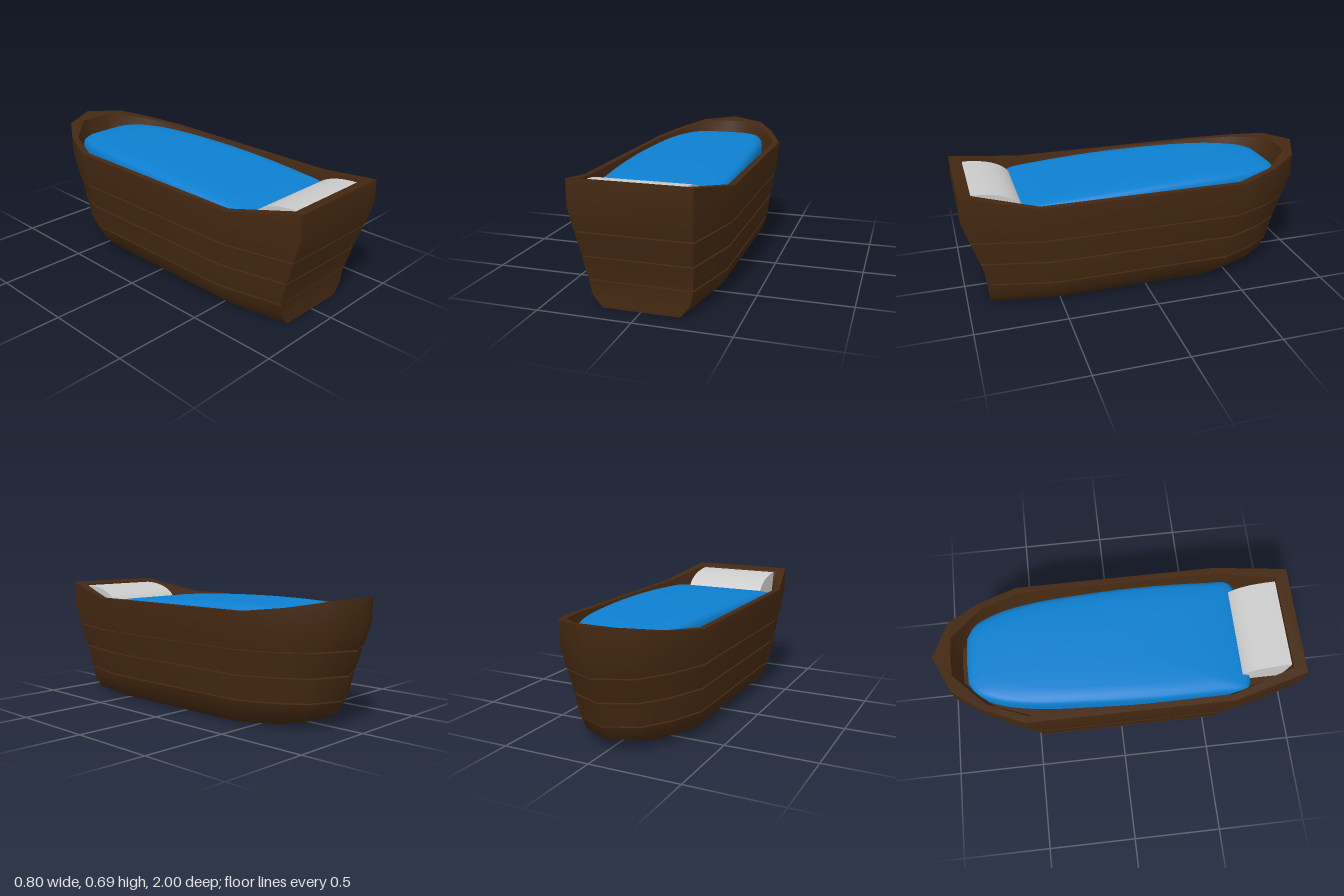
import * as THREE from 'three';
import { toCreasedNormals } from 'three/addons/utils/BufferGeometryUtils.js';

// Skin a stack of closed rings; each ring is a list of [x, y, z]
function loft(rings, crease) {
  const pos = [];
  const same = (p, q) => p.every((v, k) => Math.abs(v - q[k]) < 1e-6);
  const tri = (a, b, c) => {
    if (!same(a, b) && !same(b, c) && !same(a, c)) pos.push(...a, ...b, ...c);
  };
  for (let i = 0; i < rings.length - 1; i++) {
    const lo = rings[i], hi = rings[i + 1], n = lo.length;
    for (let j = 0; j < n; j++) {
      const k = (j + 1) % n;
      tri(lo[j], hi[j], lo[k]);
      tri(lo[k], hi[j], hi[k]);
    }
  }
  const g = new THREE.BufferGeometry();
  g.setAttribute('position', new THREE.Float32BufferAttribute(pos, 3));
  return toCreasedNormals(g, crease);
}

// Half outline from bow to stern on +x, completed by its mirror image
const mirrored = half => [
  ...half,
  ...half.filter(p => p[0] > 0).reverse().map(([x, z]) => [-x, z]),
];

function part(name, geometry, material) {
  const m = new THREE.Mesh(geometry, material);
  m.name = name;
  return m;
}

export function createModel() {
  const model = new THREE.Group();
  model.name = 'boatBed';
  const wood = new THREE.MeshStandardMaterial({ color: 0x442811, side: THREE.DoubleSide });
  const blue = new THREE.MeshStandardMaterial({ color: 0x0d7fd0 });
  const grey = new THREE.MeshStandardMaterial({ color: 0xcccccc });

  // Hull plan, bow at -z and flat stern at +z
  const plan = mirrored([[0, -1], [0.2, -0.91], [0.31, -0.75], [0.4, -0.53], [0.4, 0.61], [0.31, 1]]);
  const innerPlan = mirrored([[0, -0.905], [0.11, -0.9], [0.28, -0.73], [0.365, -0.51], [0.365, 0.6], [0.27, 0.935]]);
  const sheer = z => 0.61 + (z > 0.61 ? 0.075 * (z - 0.61) / 0.39
    : z < -0.6 ? 0.075 * (-z - 0.6) / 0.4 : 0);

  // Level hull ring: half width, stern z, bow z, height
  const level = (w, stern, bow, y) =>
    plan.map(([x, z]) => [x * w / 0.4, y, z > 0 ? z * stern : z * bow]);

  // Planks from keel to gunwale: rows of [half width, stern, bow, y]
  const planks = [
    [[0, 0, 0, 0], [0.263, 0.875, 0.66, 0], [0.327, 0.875, 0.83, 0.065], [0.35, 0.875, 0.865, 0.14]],
    [[0.35, 0.88, 0.87, 0.148], [0.366, 0.915, 0.905, 0.275]],
    [[0.366, 0.918, 0.908, 0.284], [0.384, 0.957, 0.95, 0.411]],
    [[0.386, 0.961, 0.957, 0.42], [0.4, 1, 1, 0.55]],
  ];
  const hull = [];
  planks.forEach((rows, i) => {
    // Recessed seam between neighbouring planks
    if (i > 0) {
      const below = planks[i - 1].at(-1), above = rows[0];
      for (const r of [below, above]) hull.push(level(r[0] - 0.022, r[1] - 0.04, r[2] - 0.05, r[3]));
    }
    rows.forEach(r => hull.push(level(...r)));
  });

  // Gunwale, inner wall and inside floor
  hull.push(plan.map(([x, z]) => [x, sheer(z), z]));
  hull.push(innerPlan.map(([x, z]) => [x, sheer(z), z]));
  hull.push(innerPlan.map(([x, z]) => [x * 0.92, 0.5, z * 0.96]));
  hull.push(innerPlan.map(() => [0, 0.5, 0]));
  model.add(part('hull', loft(hull, 0.9), wood));

  // Domed blanket following the bow curve
  const edge = new THREE.CatmullRomCurve3([
    [0.13, -0.83], [0.2, -0.785], [0.26, -0.66], [0.3, -0.47], [0.325, -0.15],
    [0.338, 0.2], [0.334, 0.55], [0.325, 0.69], [0.28, 0.72],
  ].map(([x, z]) => new THREE.Vector3(x, 0, z)), false, 'centripetal');
  const blanketPlan = mirrored([[0, -0.835], ...edge.getPoints(40).map(p => [p.x, p.z]), [0, 0.72]]
    .map(([x, z]) => [Math.max(x, 0), z]));
  // Keep the centre points single
  const crown = z => 0.636 - 0.045 * (z + 0.3) ** 2;
  const cz = -0.05;
  const blanket = [[0.99, 0.14], [1, 0.06], [0.99, 0.036], [0.96, 0.02], [0.9, 0.01],
    [0.75, 0.004], [0.5, 0.001], [0.25, 0], [0, 0]].map(([s, drop]) =>
    blanketPlan.map(([x, z]) => {
      const sz = cz + (z - cz) * s;
      return [x * s, crown(sz) - drop, sz];
    }));
  model.add(part('blanket', loft(blanket, 1.0), blue));

  // Pillow: curved wedge leaning on the stern wall
  const side = new THREE.Shape();
  side.moveTo(-0.93, 0.49);
  side.lineTo(-0.665, 0.49);
  side.lineTo(-0.665, 0.56);
  side.bezierCurveTo(-0.69, 0.62, -0.78, 0.662, -0.93, 0.664);
  side.closePath();
  const pillow = new THREE.ExtrudeGeometry(side, { depth: 0.5, bevelEnabled: false, curveSegments: 16 });
  pillow.translate(0, 0, -0.25).rotateY(Math.PI / 2);
  model.add(part('pillow', toCreasedNormals(pillow, 0.6), grey));

  return model;
}
